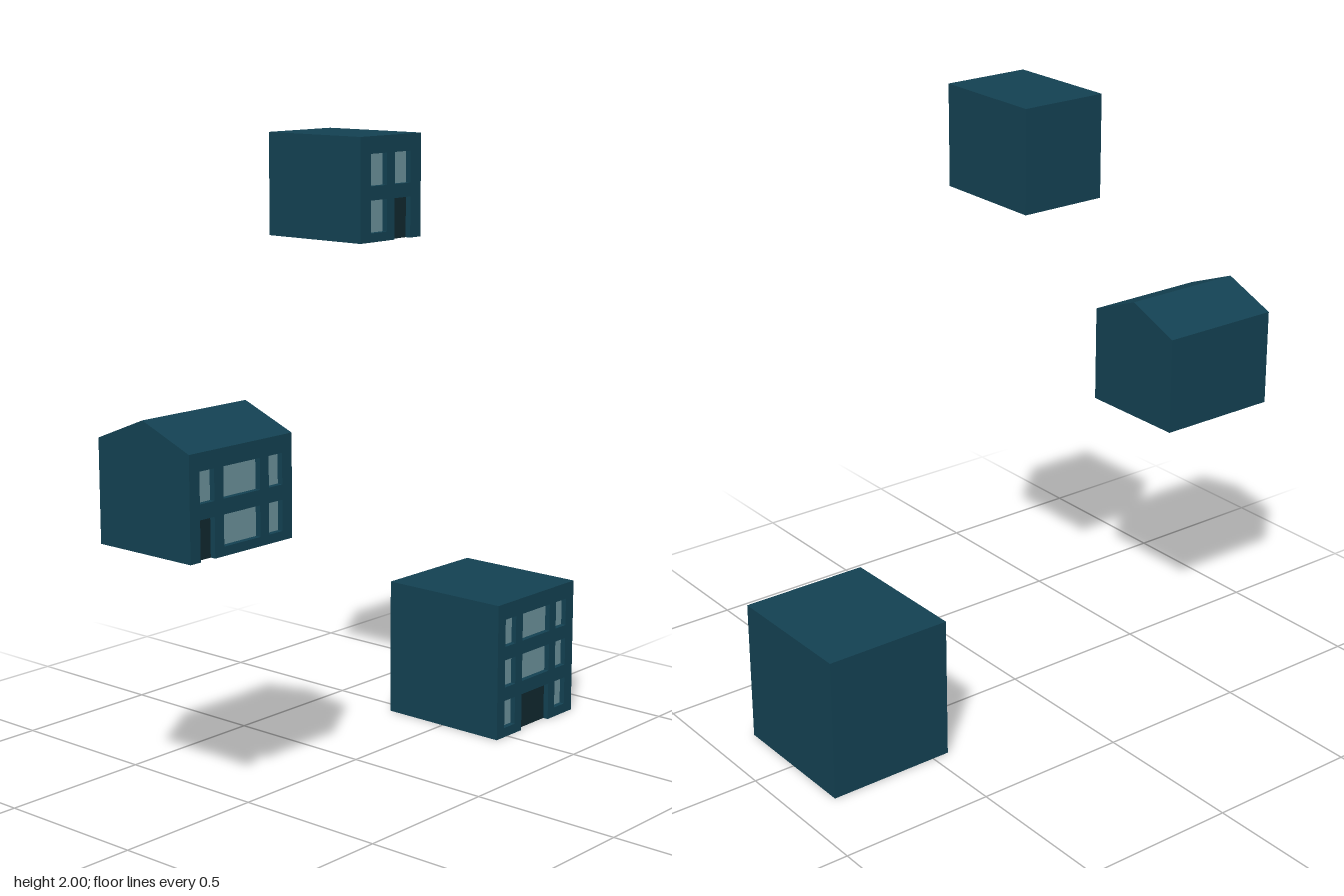
import * as THREE from 'three';

const material = (color) => new THREE.MeshStandardMaterial({ color, flatShading: true });
const wallMat = material(0x134152);
const glassMat = material(0x6c929b);
const doorMat = material(0x10282f);

const BACK = -0.23;    // shared rear plane of all buildings
const RECESS = 0.02;   // depth of windows and doors behind the facade

function addMesh(group, name, geometry, mat) {
  const mesh = new THREE.Mesh(geometry, mat);
  mesh.name = name;
  group.add(mesh);
  return mesh;
}

// A solid body with a front wall pierced by windows and one doorway.
// columns: [left, right] of each opening; rows: [bottom, top] of each storey,
// lowest first. The opening at doorColumn on the lowest row is the door.
function building({ name, left, right, base, top, front, columns, rows, doorColumn }) {
  const group = new THREE.Group();
  group.name = name;
  const inner = front - RECESS;

  // Main volume behind the facade
  const body = addMesh(group, 'body',
    new THREE.BoxGeometry(right - left, top - base, inner - BACK), wallMat);
  body.position.set((left + right) / 2, (base + top) / 2, (inner + BACK) / 2);

  // Facade outline, notched at the bottom for the doorway
  const [d0, d1] = columns[doorColumn];
  const doorTop = rows[0][1];
  const outline = new THREE.Shape([
    [left, base], [d0, base], [d0, doorTop], [d1, doorTop], [d1, base],
    [right, base], [right, top], [left, top],
  ].map(([x, y]) => new THREE.Vector2(x, y)));

  // Recessed panel filling an opening
  const panel = (label, x0, x1, y0, y1, mat) => {
    const mesh = addMesh(group, label, new THREE.PlaneGeometry(x1 - x0, y1 - y0), mat);
    mesh.position.set((x0 + x1) / 2, (y0 + y1) / 2, inner + 0.002);
  };

  rows.forEach(([y0, y1], r) => columns.forEach(([x0, x1], c) => {
    if (r === 0 && c === doorColumn) {
      panel('door', x0, x1, base, y1, doorMat);
      return;
    }
    outline.holes.push(new THREE.Path(
      [[x0, y0], [x0, y1], [x1, y1], [x1, y0]].map(([x, y]) => new THREE.Vector2(x, y))));
    panel('window', x0, x1, y0, y1, glassMat);
  }));

  const facade = addMesh(group, 'facade',
    new THREE.ExtrudeGeometry(outline, { depth: RECESS, bevelEnabled: false }), wallMat);
  facade.position.z = inner;
  return group;
}

// Gable roof: triangular section in z/y, extruded along x
function gableRoof(left, right, eave, ridge, front) {
  const section = new THREE.Shape([
    new THREE.Vector2(-front, eave),
    new THREE.Vector2(-BACK, eave),
    new THREE.Vector2(-(front + BACK) / 2, ridge),
  ]);
  const geometry = new THREE.ExtrudeGeometry(section, { depth: right - left, bevelEnabled: false });
  geometry.rotateY(Math.PI / 2).translate(left, 0, 0);
  return geometry;
}

export function createModel() {
  const model = new THREE.Group();
  model.name = 'buildings';

  // Small two-storey building, highest
  model.add(building({
    name: 'smallBuilding', left: -0.14, right: 0.14, base: 1.685, top: 2, front: 0.14,
    columns: [[-0.093, -0.019], [0.017, 0.091]],
    rows: [[1.712, 1.81], [1.852, 1.948]],
    doorColumn: 1,
  }));

  // Two-storey house with a gable roof
  const house = building({
    name: 'gabledHouse', left: -0.865, right: -0.446, base: 0.845, top: 1.161, front: 0.14,
    columns: [[-0.825, -0.767], [-0.73, -0.581], [-0.544, -0.487]],
    rows: [[0.873, 0.967], [1.013, 1.107]],
    doorColumn: 0,
  });
  addMesh(house, 'roof', gableRoof(-0.865, -0.446, 1.161, 1.235, 0.14), wallMat);
  model.add(house);

  // Large three-storey building on the ground
  model.add(building({
    name: 'largeBuilding', left: 0.444, right: 0.863, base: 0, top: 0.46, front: 0.23,
    columns: [[0.484, 0.541], [0.578, 0.728], [0.764, 0.821]],
    rows: [[0.032, 0.126], [0.172, 0.266], [0.312, 0.405]],
    doorColumn: 1,
  }));

  return model;
}
